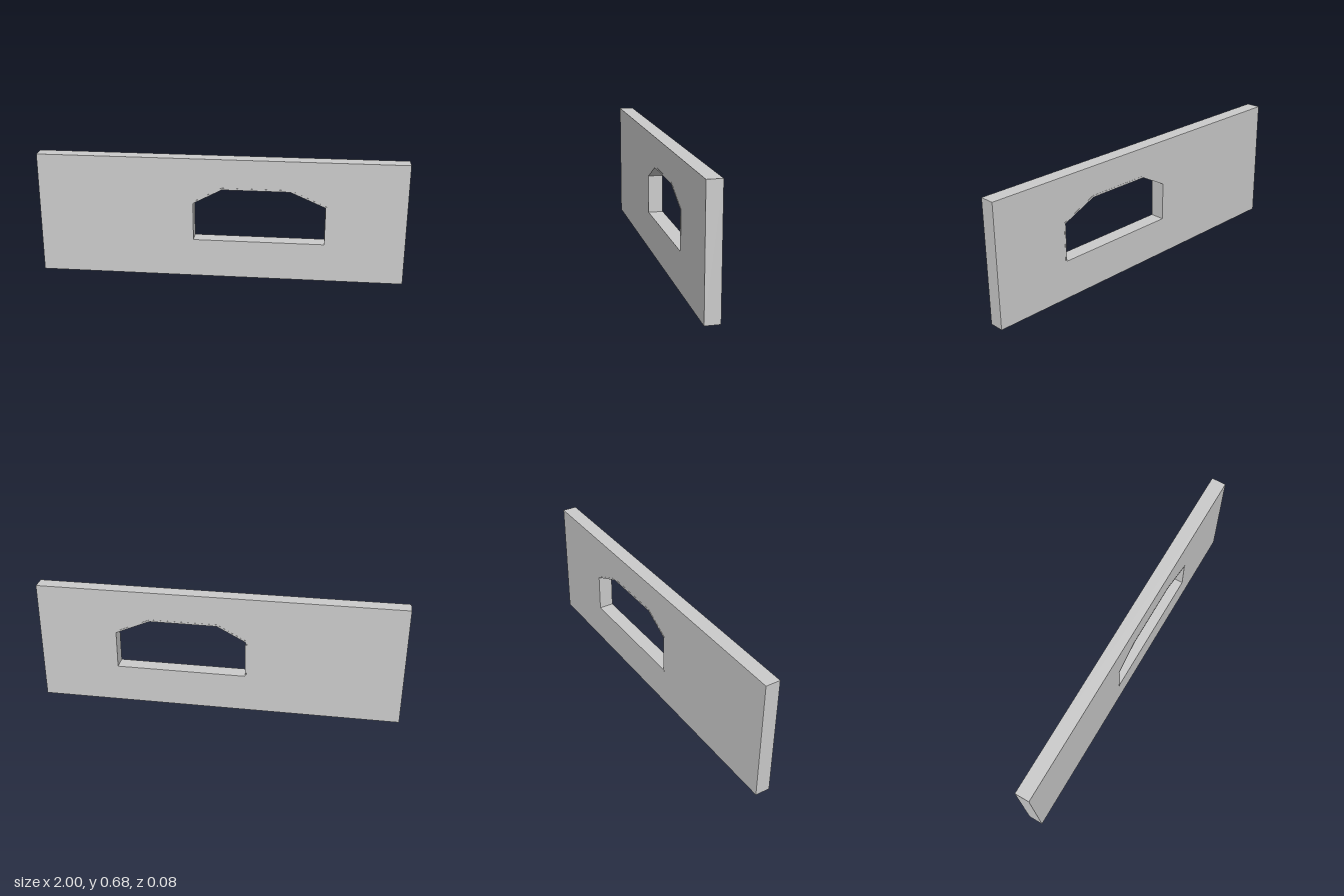
import * as THREE from 'three';

const material = new THREE.MeshStandardMaterial({ color: 0xcccccc, flatShading: true });
const toPoints = (list) => list.map(([x, y]) => new THREE.Vector2(x, y));

// Extruded plate with one hole, centred on z = 0
function plate(name, outline, hole, depth) {
  const shape = new THREE.Shape(toPoints(outline));
  shape.holes.push(new THREE.Path(toPoints(hole)));
  const geometry = new THREE.ExtrudeGeometry(shape, { depth, bevelEnabled: false });
  geometry.translate(0, 0, -depth / 2);
  const mesh = new THREE.Mesh(geometry, material);
  mesh.name = name;
  return mesh;
}

// Window outline with sloped upper corners
const opening = [[-0.147, 0.214], [0.568, 0.214], [0.568, 0.425], [0.376, 0.508], [0.01, 0.508], [-0.147, 0.425]];
// The same outline, grown by the thickness of the lining
const rim = [[-0.155, 0.206], [0.576, 0.206], [0.576, 0.43], [0.378, 0.518], [0.008, 0.518], [-0.155, 0.43]];

export function createModel() {
  const model = new THREE.Group();
  model.name = 'wallWithWindow';

  // Wall panel
  const wall = [[-1, 0], [1, 0], [1, 0.677], [-1, 0.677]];
  model.add(plate('wall', wall, rim, 0.08));

  // Thin lining around the opening, barely proud of the wall
  model.add(plate('windowLining', rim, opening, 0.082));

  return model;
}
